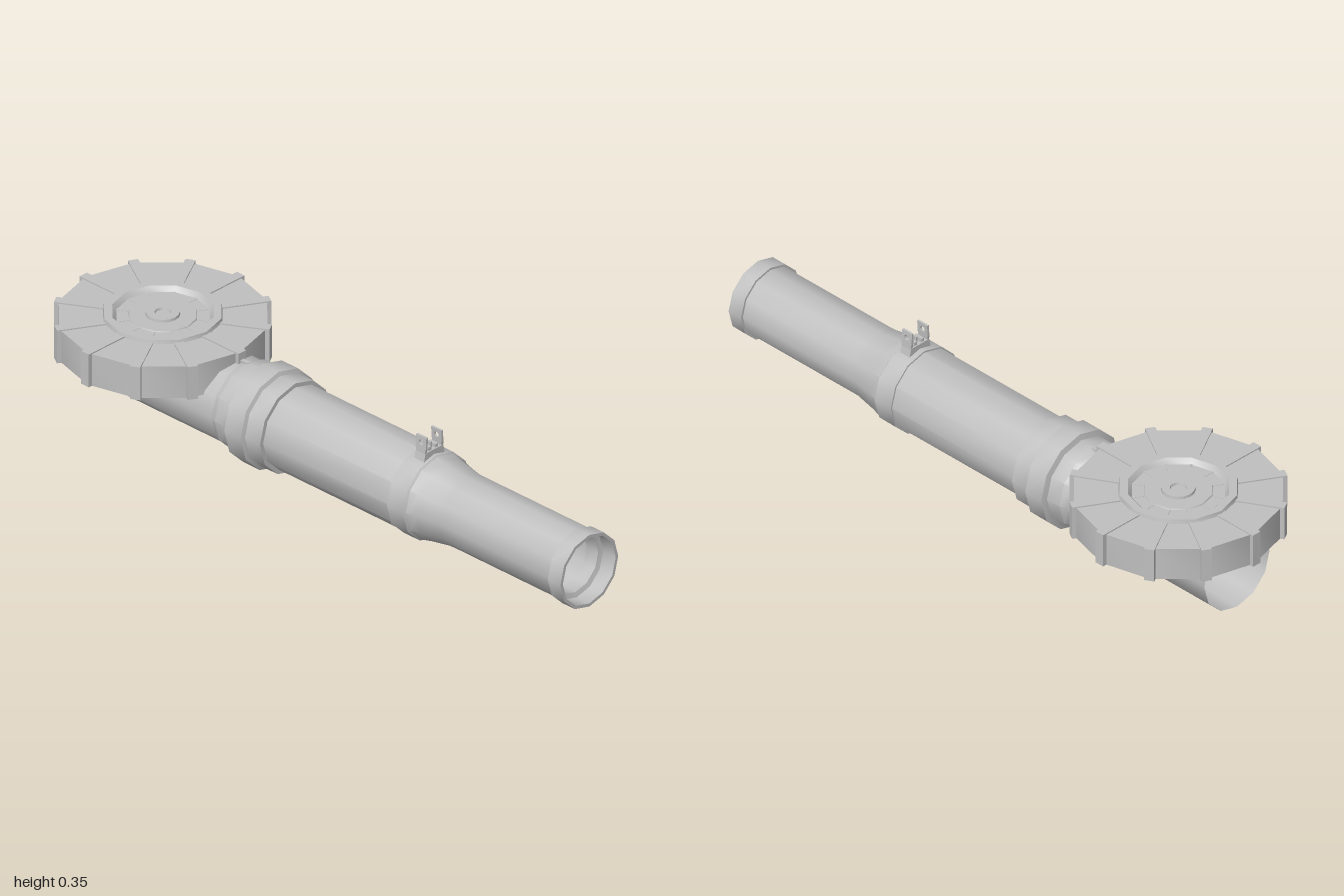
import * as THREE from 'three';
import { toCreasedNormals } from 'three/addons/utils/BufferGeometryUtils.js';

const SIDES = 12, AXIS_Y = 0.156, DRUM_Z = -0.69;

export function createModel() {
  const root = new THREE.Group();
  const grey = new THREE.MeshStandardMaterial({ color: 0xbfbfbf, side: THREE.DoubleSide });
  grey.name = 'grey metal';

  const add = (parent, name, geometry) => {
    const mesh = new THREE.Mesh(geometry, grey);
    mesh.name = name;
    parent.add(mesh);
    return mesh;
  };
  // Twelve-sided turned part; smooth around, sharp at the steps
  const turned = (points, sides = SIDES) => toCreasedNormals(
    new THREE.LatheGeometry(points.map(([r, y]) => new THREE.Vector2(r, y)), sides), 0.56);
  // Flat outline with thickness, centred on its plane
  const plate = (points, depth, hole) => {
    const shape = new THREE.Shape(points.map(([x, y]) => new THREE.Vector2(x, y)));
    if (hole) shape.holes.push(hole);
    const g = new THREE.ExtrudeGeometry(shape, { depth, bevelEnabled: false, curveSegments: 8 });
    return g.translate(0, 0, -depth / 2);
  };

  // Barrel: open shell running from the rear end to the stepped muzzle
  const barrel = new THREE.Group();
  barrel.name = 'barrel';
  barrel.position.y = AXIS_Y;
  barrel.rotation.x = Math.PI / 2;
  root.add(barrel);
  add(barrel, 'barrelShell', turned([
    [0.13, -0.925], [0.13, -0.165], [0.13, 0.40], [0.122, 0.435], [0.111, 0.5], [0.11, 0.52], [0.11, 0.95],
    [0.117, 0.95], [0.117, 1], [0.107, 1], [0.107, 0.95], [0.092, 0.945], [0.092, 0.9], [0.108, 0.9],
  ]));
  add(barrel, 'sightBand', turned([[0.129, 0.33], [0.135, 0.33], [0.135, 0.395], [0.129, 0.40]]));
  add(barrel, 'rearCollar', turned([
    [0.128, -0.375], [0.137, -0.35], [0.137, -0.30], [0.155, -0.295], [0.155, -0.23],
    [0.143, -0.225], [0.143, -0.165], [0.129, -0.165],
  ]));

  // Sight: tapered foot, two pierced ears and small central stops
  const sight = new THREE.Group();
  sight.name = 'sight';
  sight.position.z = 0.367;
  root.add(sight);
  add(sight, 'sightFoot', plate([[-0.043, 0.275], [0.043, 0.275], [0.036, 0.306], [-0.036, 0.306]], 0.038));
  for (const side of [-1, 1]) {
    const hole = new THREE.Path().absarc(0, 0.335, 0.009, 0, Math.PI * 2, true);
    const ear = plate([[-0.015, 0.29], [0.015, 0.29], [0.02, 0.318], [0.02, 0.355],
      [-0.02, 0.355], [-0.02, 0.318]], 0.007, hole);
    // Ears lean slightly inwards towards the top
    ear.rotateY(Math.PI / 2);
    const p = ear.attributes.position;
    for (let i = 0; i < p.count; i++) p.setX(i, p.getX(i) + side * (0.034 - (p.getY(i) - 0.29) * 0.06));
    ear.computeVertexNormals();
    add(sight, 'sightEar', ear);
    add(sight, 'sightStop', new THREE.BoxGeometry(0.011, 0.012, 0.03).translate(side * 0.014, 0.311, 0));
  }
  add(sight, 'sightPost', new THREE.BoxGeometry(0.006, 0.02, 0.012).translate(0, 0.315, 0));

  // Latch between the collar and the drum
  add(root, 'latch', new THREE.BoxGeometry(0.014, 0.02, 0.04).translate(0, 0.283, -0.367));

  // Drum: hollow below, with a raised ring and a dished centre on top
  const drum = new THREE.Group();
  drum.name = 'drum';
  drum.position.z = DRUM_Z;
  root.add(drum);
  add(drum, 'drumShell', turned([
    [0.306, 0.21], [0.306, 0.313], [0.175, 0.313], [0.172, 0.325], [0.148, 0.325],
    [0.136, 0.31], [0.1, 0.31], [0.098, 0.314], [0, 0.314],
  ]));
  add(drum, 'drumInnerWall', turned([[0.306, 0.21], [0.296, 0.21], [0.296, 0.306]]));
  add(drum, 'centreCap', turned([[0.05, 0.31], [0.048, 0.322], [0.024, 0.322], [0.022, 0.315]], 16));
  add(drum, 'hubPost', new THREE.CylinderGeometry(0.023, 0.023, 0.13, SIDES).translate(0, 0.245, 0));
  add(drum, 'hub', turned([[0.023, 0.27], [0.06, 0.27], [0.06, 0.312]]));

  // Ribs fold over the top and down the rim; fins sit underneath
  const rib = plate([[0.165, 0.308], [0.165, 0.317], [0.315, 0.317], [0.315, 0.21],
    [0.299, 0.21], [0.299, 0.308]], 0.03);
  const fin = plate([[0.06, 0.285], [0.297, 0.285], [0.297, 0.311], [0.06, 0.311]], 0.008);
  for (let i = 0; i < SIDES; i++) {
    const angle = i * Math.PI * 2 / SIDES;
    add(drum, 'drumRib', rib).rotation.y = angle;
    add(drum, 'drumFin', fin).rotation.y = angle;
  }
  return root;
}
